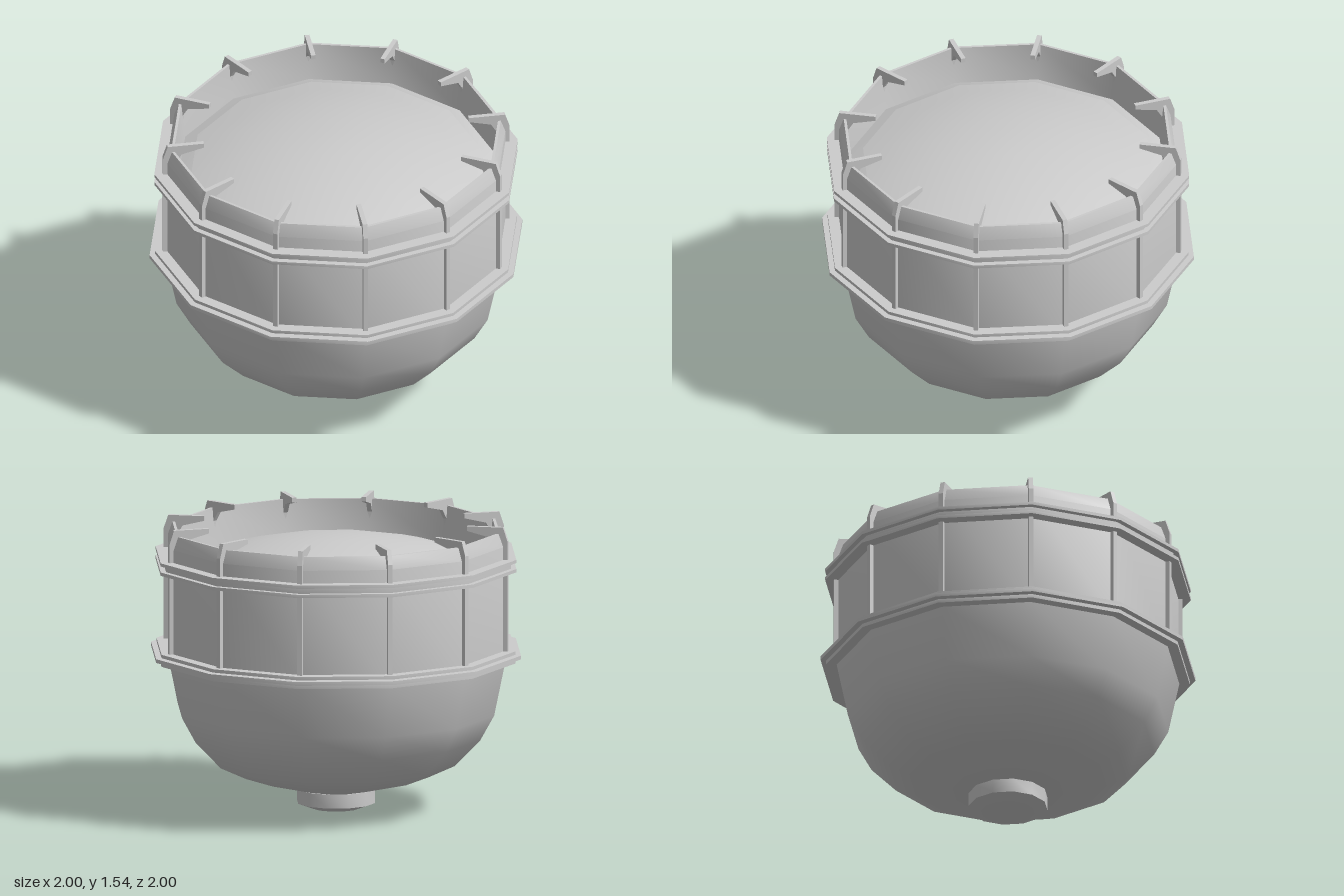
import * as THREE from 'three';
import { toCreasedNormals } from 'three/addons/utils/BufferGeometryUtils.js';

const SIDES = 12;

export function createModel() {
  const model = new THREE.Group();
  const material = new THREE.MeshStandardMaterial({ color: 0xcccccc });

  function add(name, geometry) {
    const mesh = new THREE.Mesh(geometry, material);
    mesh.name = name;
    model.add(mesh);
    return mesh;
  }
  // Twelve-sided turned part from [radius, height] pairs, listed counter-clockwise
  function turned(name, profile) {
    const points = profile.map(([r, y]) => new THREE.Vector2(r, y));
    return add(name, toCreasedNormals(new THREE.LatheGeometry(points, SIDES), 0.6));
  }
  // Flat plate with a radial outline, repeated at every corner of the body
  function ribs(name, outline, width) {
    const shape = new THREE.Shape(outline.map(([r, y]) => new THREE.Vector2(r, y)));
    const geometry = new THREE.ExtrudeGeometry(shape, { depth: width, bevelEnabled: false });
    geometry.translate(0, 0, -width / 2);
    for (let i = 0; i < SIDES; i++) {
      add(name, geometry).rotation.y = (i / SIDES) * Math.PI * 2;
    }
  }
  function flange(name, radius, bottom, top) {
    turned(name, [[0.87, bottom], [radius, bottom], [radius, top], [0.87, top]]);
  }

  // Rounded bowl
  turned('bowl', [
    [0, 0.08], [0.2, 0.11], [0.5, 0.185], [0.64, 0.25],
    [0.78, 0.395], [0.855, 0.53], [0.915, 0.82],
  ]);

  // Drain plug under the bowl
  turned('drainPlug', [[0, 0], [0.13, 0.005], [0.21, 0.035], [0.21, 0.11], [0, 0.11]]);

  // Wall, up over the rim and down the inside
  turned('wall', [
    [0.91, 0.82], [0.91, 1.44], [0.885, 1.51],
    [0.87, 1.51], [0.85, 1.3], [0.78, 1.33],
  ]);

  // Domed lid set below the rim
  const dome = [];
  for (let i = 0; i <= 6; i++) {
    const t = 1 - i / 6;
    dome.push([0.78 * t, 1.33 + 0.13 * (1 - t * t)]);
  }
  turned('domedLid', dome);

  // Lower and upper hoops, each a stack of flanges
  flange('lowerHoopBottom', 0.97, 0.815, 0.835);
  flange('lowerHoopMiddle', 1.0, 0.838, 0.858);
  flange('lowerHoopTop', 0.97, 0.862, 0.88);
  flange('upperHoopBottom', 0.975, 1.305, 1.323);
  flange('upperHoopCore', 0.945, 1.323, 1.355);
  flange('upperHoopTop', 0.975, 1.355, 1.372);

  // Upright ribs between the hoops
  ribs('uprightRib', [[0.88, 0.87], [0.93, 0.87], [0.93, 1.31], [0.88, 1.31]], 0.025);

  // Hooked clips over the rim
  ribs('rimClip', [
    [0.86, 1.36], [0.93, 1.36], [0.93, 1.47], [0.905, 1.545],
    [0.71, 1.545], [0.71, 1.52], [0.83, 1.49], [0.86, 1.44],
  ], 0.025);

  return model;
}
